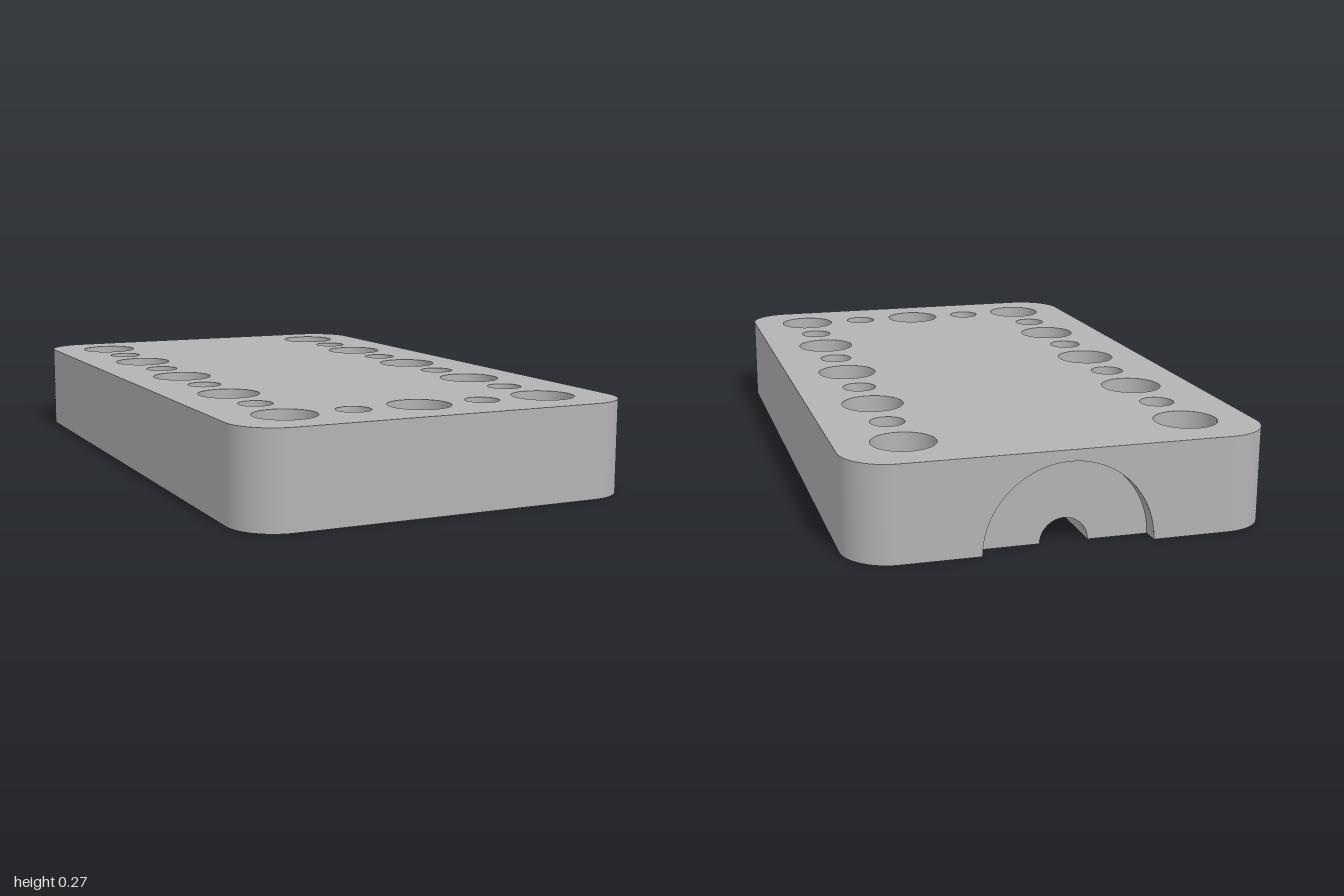
import * as THREE from 'three';

const W = 0.595, L = 1, H = 0.272, CORNER = 0.135;   // plate half width, half length, height
const RECESS_R = 0.24, RECESS_Z = -0.95;             // half-round pocket in the back
const CHANNEL_R = 0.068, CHANNEL_END = 0.67;         // half-round groove in the underside

// Turns a surface to face the other way
function flip(geo) {
  const idx = geo.index.array, n = geo.attributes.normal.array;
  for (let i = 0; i < idx.length; i += 3) [idx[i], idx[i + 1]] = [idx[i + 1], idx[i]];
  for (let i = 0; i < n.length; i++) n[i] = -n[i];
  return geo;
}

// Rounded plate outline in x, z; optionally cut open for the pocket and groove
function plateOutline(cut) {
  const s = new THREE.Shape(), a = W - CORNER, b = L - CORNER;
  s.moveTo(a, -L);
  s.absarc(a, -b, CORNER, -Math.PI / 2, 0, false);
  s.absarc(a, b, CORNER, 0, Math.PI / 2, false);
  s.absarc(-a, b, CORNER, Math.PI / 2, Math.PI, false);
  s.absarc(-a, -b, CORNER, Math.PI, Math.PI * 1.5, false);
  if (cut) {
    const half = [[RECESS_R, -L], [RECESS_R, RECESS_Z], [CHANNEL_R, RECESS_Z], [CHANNEL_R, CHANNEL_END]];
    half.forEach(([x, z]) => s.lineTo(-x, z));
    [...half].reverse().forEach(([x, z]) => s.lineTo(x, z));
  }
  return s;
}

// Half cylinder hollow along z, arching above y = 0
function archWall(r, z0, z1) {
  const g = new THREE.CylinderGeometry(r, r, z1 - z0, 48, 1, true, Math.PI / 2, Math.PI);
  return flip(g.rotateX(Math.PI / 2).translate(0, 0, (z0 + z1) / 2));
}

export function createModel() {
  const model = new THREE.Group();
  const grey = new THREE.MeshStandardMaterial({ color: 0xb3b3b3 });
  grey.name = 'grey';
  const add = (name, geo) => {
    const m = new THREE.Mesh(geo, grey);
    m.name = name;
    model.add(m);
    return m;
  };

  // Alternating large and small through holes: two sides and the front row
  const holes = [];
  for (let i = 0; i < 9; i++) {
    for (const x of [-0.405, 0.405]) holes.push([x, (i - 4) * 0.2025, i % 2 ? 0.05 : 0.09]);
  }
  for (let i = -1; i <= 1; i++) holes.push([i * 0.2025, 0.81, i ? 0.05 : 0.09]);

  // Top and underside with the holes cut out
  for (const top of [true, false]) {
    const shape = plateOutline(!top);
    for (const [x, z, r] of holes) {
      shape.holes.push(new THREE.Path().absarc(x, z, r, 0, Math.PI * 2, true));
    }
    const g = new THREE.ShapeGeometry(shape, 24).rotateX(Math.PI / 2);
    add(top ? 'topFace' : 'underside', top ? flip(g).translate(0, H, 0) : g);
  }
  for (const [x, z, r] of holes) {
    add('holeWall', flip(new THREE.CylinderGeometry(r, r, H, 48, 1, true)).translate(x, H / 2, z));
  }

  // Rounded corners
  [[1, 1], [1, -1], [-1, -1], [-1, 1]].forEach(([sx, sz], i) => {
    const g = new THREE.CylinderGeometry(CORNER, CORNER, H, 24, 1, true, i * Math.PI / 2, Math.PI / 2);
    add('corner', g.translate(sx * (W - CORNER), H / 2, sz * (L - CORNER)));
  });

  // Flat outer walls
  const a = W - CORNER;
  add('frontWall', new THREE.PlaneGeometry(2 * a, H).translate(0, H / 2, L));
  for (const s of [-1, 1]) {
    add('sideWall', new THREE.PlaneGeometry(2 * (L - CORNER), H).rotateY(s * Math.PI / 2).translate(s * W, H / 2, 0));
  }
  const back = new THREE.Shape();
  back.moveTo(a, 0).lineTo(a, H).lineTo(-a, H).lineTo(-a, 0).lineTo(-RECESS_R, 0);
  back.absarc(0, 0, RECESS_R, Math.PI, 0, true);
  add('backWall', new THREE.ShapeGeometry(back, 48).rotateY(Math.PI).translate(0, 0, -L));

  // Half-round pocket and the groove running from it
  add('pocketWall', archWall(RECESS_R, -L, RECESS_Z));
  add('pocketEnd', new THREE.RingGeometry(CHANNEL_R, RECESS_R, 48, 1, 0, Math.PI).rotateY(Math.PI).translate(0, 0, RECESS_Z));
  add('grooveWall', archWall(CHANNEL_R, RECESS_Z, CHANNEL_END));
  add('grooveEnd', new THREE.CircleGeometry(CHANNEL_R, 48, 0, Math.PI).rotateY(Math.PI).translate(0, 0, CHANNEL_END));

  return model;
}
